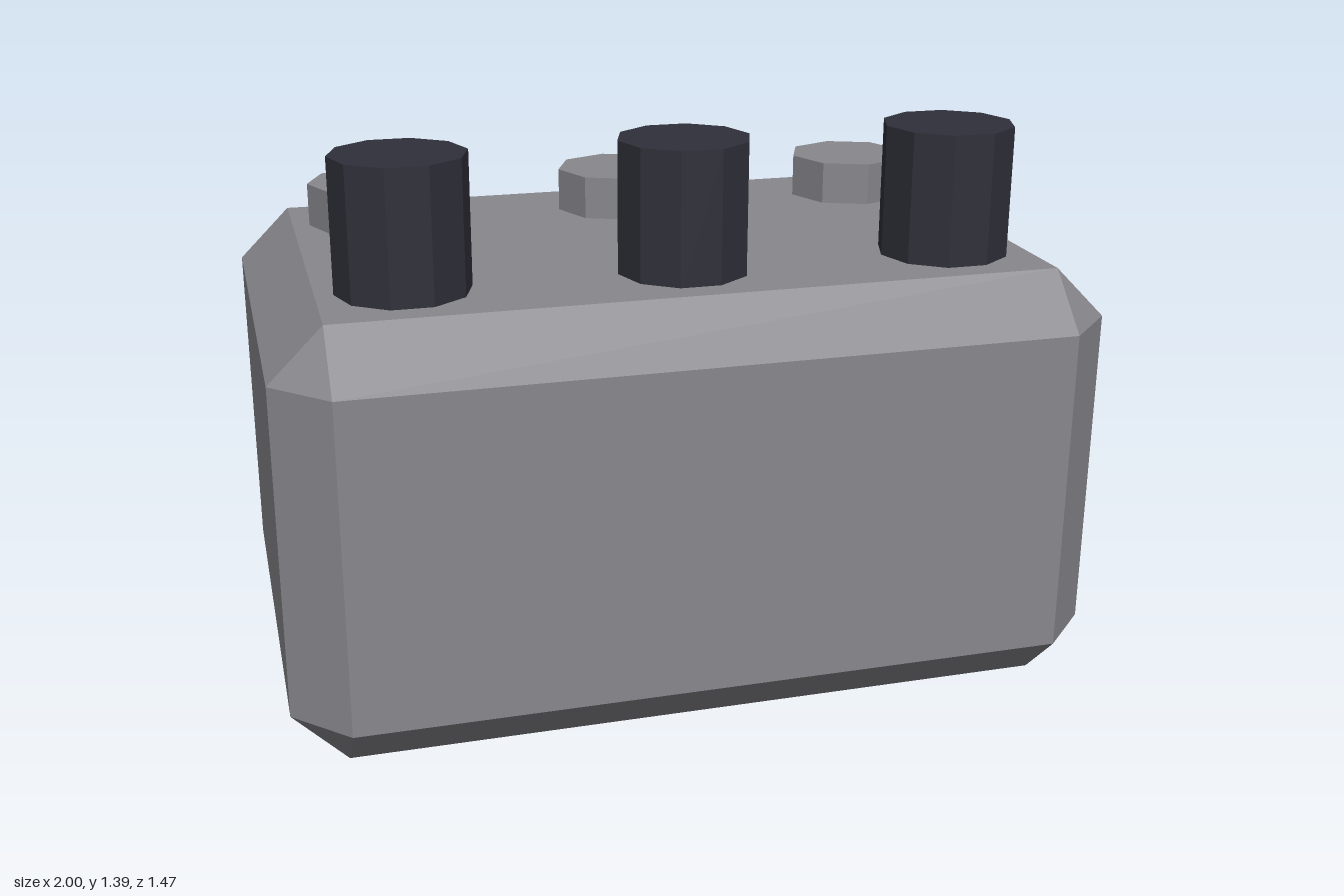
import * as THREE from 'three';
import { ConvexGeometry } from 'three/addons/geometries/ConvexGeometry.js';

const grey = new THREE.MeshStandardMaterial({ color: 0x88878c, flatShading: true });
grey.name = 'grey casing';
const dark = new THREE.MeshStandardMaterial({ color: 0x30303a, flatShading: true });
dark.name = 'dark plastic';

// Box centred on the origin with every edge chamfered
function chamferedBox(w, h, d, c) {
  const points = [];
  for (const sx of [-1, 1]) for (const sy of [-1, 1]) for (const sz of [-1, 1]) {
    const [x, y, z] = [w / 2, h / 2, d / 2];
    points.push(
      new THREE.Vector3(sx * x, sy * (y - c), sz * (z - c)),
      new THREE.Vector3(sx * (x - c), sy * y, sz * (z - c)),
      new THREE.Vector3(sx * (x - c), sy * (y - c), sz * z));
  }
  return new ConvexGeometry(points);
}

export function createModel() {
  const model = new THREE.Group();
  model.name = 'pedalBox';

  const add = (name, geometry, material, x, y, z) => {
    const mesh = new THREE.Mesh(geometry, material);
    mesh.name = name;
    mesh.position.set(x, y, z);
    model.add(mesh);
    return mesh;
  };

  // Casing
  add('casing', chamferedBox(2, 1.07, 1.335, 0.13), grey, 0, 0.535, 0.0675);

  // Tall knobs along the front, low buttons along the back
  const knob = new THREE.CylinderGeometry(0.16, 0.16, 0.34, 10).rotateY(Math.PI / 2);
  const button = new THREE.CylinderGeometry(0.16, 0.16, 0.13, 8);
  ['right', 'middle', 'left'].forEach((side, i) => {
    const x = (i - 1) * 0.667;
    add(side + 'Knob', knob, dark, x, 1.22, 0.385);
    add(side + 'Button', button, grey, x, 1.115, -0.267);
  });

  // Plug sticking out of the back
  const plug = new THREE.CylinderGeometry(0.108, 0.108, 0.27, 8).rotateX(Math.PI / 2);
  add('plug', plug, dark, 0.797, 0.32, -0.6);

  return model;
}
